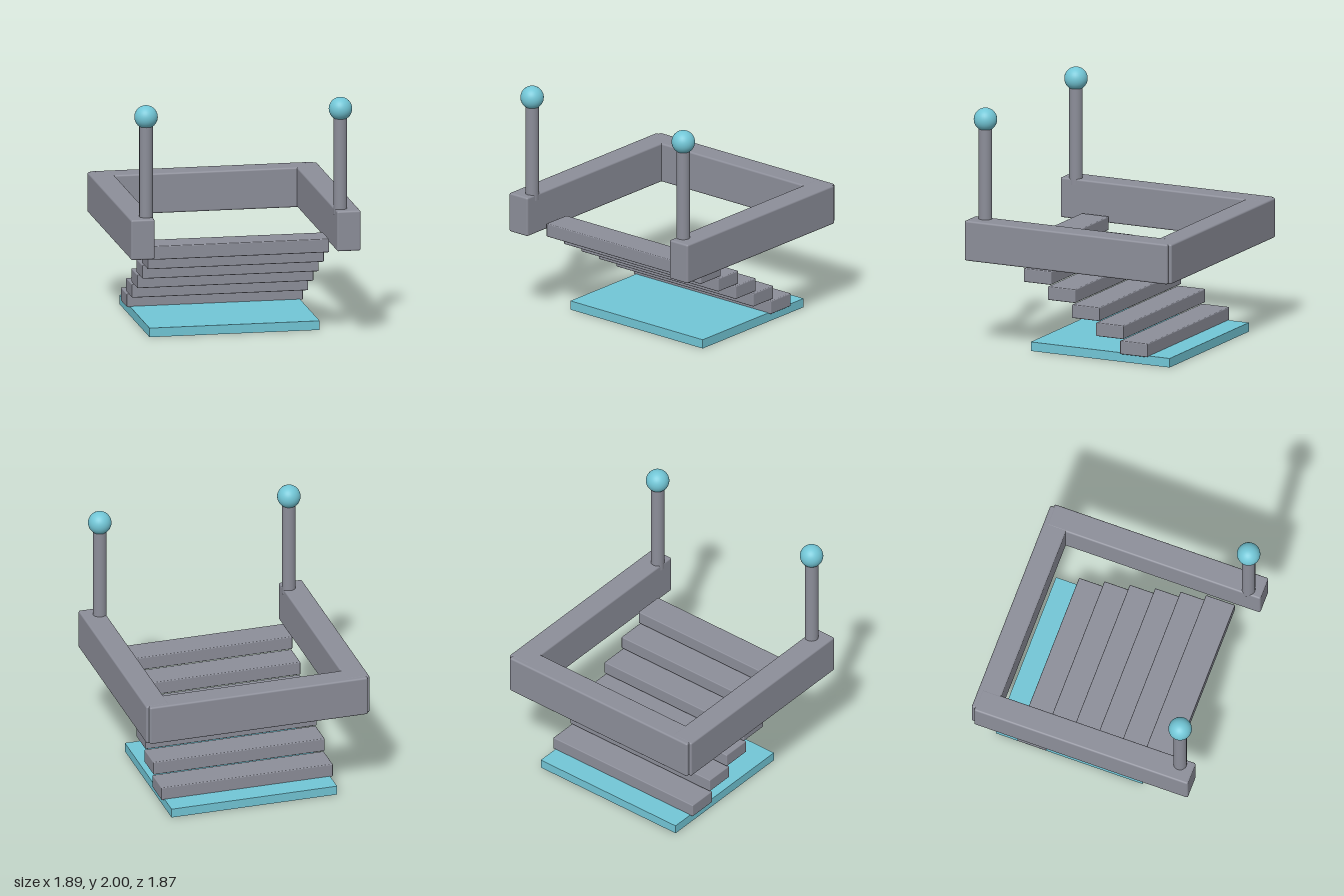
import * as THREE from 'three';
import { RoundedBoxGeometry } from 'three/addons/geometries/RoundedBoxGeometry.js';

export function createModel() {
  const group = new THREE.Group();
  const stone = new THREE.MeshStandardMaterial({ color: 0x8c8e99 });
  stone.name = 'grey stone';
  const aqua = new THREE.MeshStandardMaterial({ color: 0x72c6d6 });
  aqua.name = 'aqua';

  const add = (name, geometry, material, x, y, z) => {
    const mesh = new THREE.Mesh(geometry, material);
    mesh.name = name;
    mesh.position.set(x, y, z);
    group.add(mesh);
  };
  const block = (w, h, d, r) => new RoundedBoxGeometry(w, h, d, 3, r);

  // Floor slab
  add('basePlate', new THREE.BoxGeometry(1.4, 0.075, 1.26), aqua, 0, 0.0375, -0.175);

  // Stairs climbing towards the front
  for (let i = 0; i < 6; i++) {
    add(`step${i + 1}`, block(1.45, 0.112, 0.25, 0.008), stone,
      0, 0.124 + i * 0.1262, -0.491 + i * 0.2184);
  }

  // Surrounding wall, open at the front
  add('backWall', block(1.845, 0.33, 0.195, 0.015), stone, 0, 0.915, -0.8375);

  // Side walls, each with a post and a ball on top
  for (const [side, s] of [['left', 1], ['right', -1]]) {
    add(`${side}Wall`, block(0.195, 0.332, 1.84, 0.015), stone, s * 0.8475, 0.915, 0.013);
    add(`${side}Post`, new THREE.CylinderGeometry(0.055, 0.055, 0.85, 20), stone, s * 0.8, 1.455, 0.815);
    add(`${side}Ball`, new THREE.SphereGeometry(0.095, 32, 20), aqua, s * 0.8, 1.905, 0.815);
  }
  return group;
}
